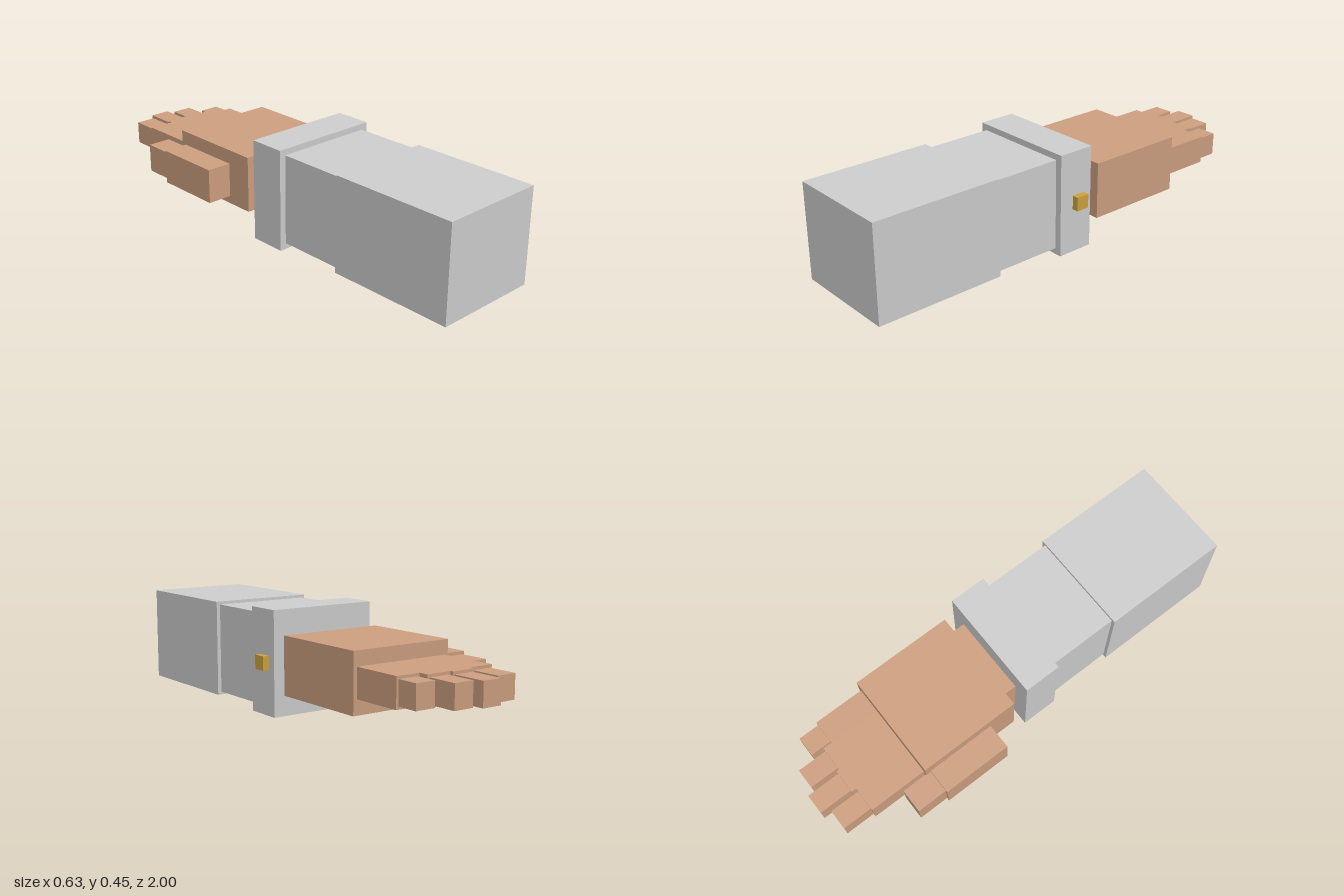
import * as THREE from 'three';

const material = (name, color) => {
  const m = new THREE.MeshStandardMaterial({ color });
  m.name = name;
  return m;
};

export function createModel() {
  const grey = material('sleeveGrey', 0xcccccc);
  const skin = material('skin', 0xcc9e7f);
  const gold = material('buttonGold', 0xcaa23c);
  const model = new THREE.Group();
  model.name = 'arm';

  // Box given by its limits on each axis
  const box = (name, mat, [x0, x1], [y0, y1], [z0, z1], parent = model) => {
    const mesh = new THREE.Mesh(new THREE.BoxGeometry(x1 - x0, y1 - y0, z1 - z0), mat);
    mesh.position.set((x0 + x1) / 2, (y0 + y1) / 2, (z0 + z1) / 2);
    mesh.name = name;
    parent.add(mesh);
  };

  // Sleeve, narrowing towards a wide cuff
  box('upperSleeve', grey, [-0.204, 0.274], [0.014, 0.438], [0.425, 1]);
  box('lowerSleeve', grey, [-0.188, 0.257], [0.027, 0.425], [0.113, 0.425]);
  box('cuff', grey, [-0.217, 0.287], [0, 0.452], [-0.053, 0.113]);
  box('cuffButton', gold, [0.287, 0.316], [0.196, 0.257], [-0.014, 0.046]);

  // Hand
  box('wrist', skin, [-0.143, 0.214], [0.118, 0.335], [-0.108, -0.053]);
  box('palm', skin, [-0.204, 0.274], [0.102, 0.353], [-0.568, -0.108]);
  box('thumbBase', skin, [-0.317, -0.204], [0.137, 0.29], [-0.545, -0.233]);
  box('thumbTip', skin, [-0.306, -0.2], [0.15, 0.277], [-0.682, -0.545]);

  // Fingers: base limits in x, end of base, end of tip
  const fingers = [
    ['indexFinger', -0.188, -0.075, -0.829, -0.962],
    ['middleFinger', -0.075, 0.034, -0.851, -1],
    ['ringFinger', 0.034, 0.147, -0.838, -0.97],
    ['littleFinger', 0.147, 0.257, -0.796, -0.891],
  ];
  for (const [name, x0, x1, baseEnd, tipEnd] of fingers) {
    const finger = new THREE.Group();
    finger.name = name;
    model.add(finger);
    const mid = (x0 + x1) / 2;
    box('fingerBase', skin, [x0, x1], [0.166, 0.291], [baseEnd, -0.568], finger);
    box('fingerTip', skin, [mid - 0.045, mid + 0.045], [0.178, 0.279], [tipEnd, baseEnd], finger);
  }
  return model;
}
